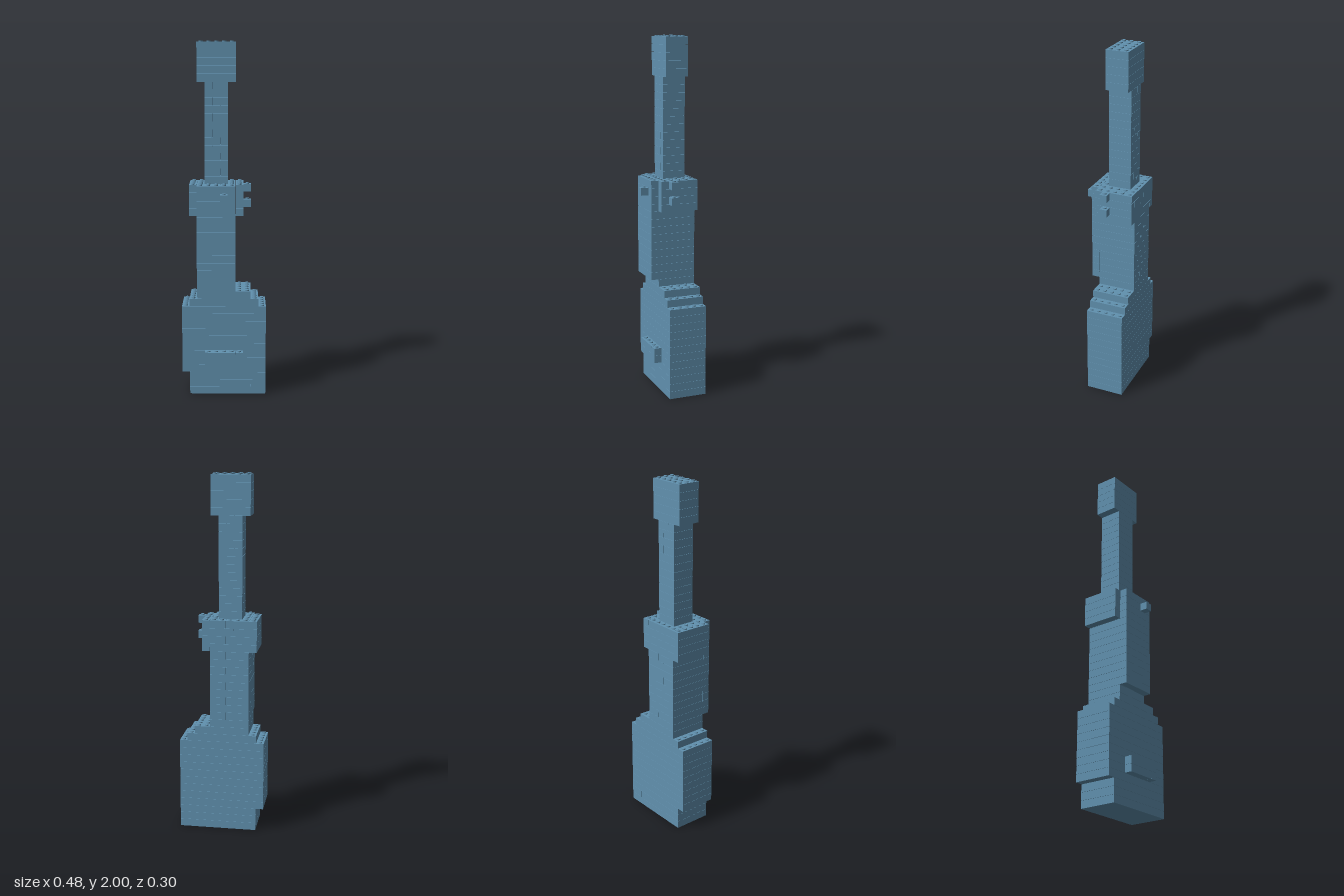
import * as THREE from 'three';
import { mergeGeometries } from 'three/addons/utils/BufferGeometryUtils.js';

const P = 2.0 / 46.15;        // stud pitch, also the height of one layer
const GAP = 0.001;            // seam between bricks
const STUD_H = 2 - 46 * P;
const STUD_R = 0.0105;
const X0 = -5.5 * P, Z0 = -3.5 * P;   // corner of column 0, row 0

// name, first layer, last layer, first/last column, first/last row, seam columns (even, odd layers)
const PARTS = [
  ['bodyFoot', 0, 2, 1, 10, 0, 4, [[], [9]]],
  ['bodyBlock', 3, 11, 0, 10, 0, 4, [[], []]],
  ['lowerStep', 12, 12, 1, 9, 0, 4, [[], []]],
  ['upperStep', 13, 13, 2, 8, 0, 4, [[], []]],
  ['frontLedge', 4, 5, 3, 7, 5, 5, [[7], [7]]],
  ['lowerNeck', 14, 27, 2, 6, 0, 4, [[4], [5]]],
  ['neckFront', 15, 27, 2, 6, 5, 5, [[], []]],
  ['collarRight', 24, 27, 1, 1, 0, 4, [[], []]],
  ['collarLeft', 24, 27, 7, 7, 0, 4, [[], []]],
  ['lowerSidePeg', 25, 25, 8, 8, 3, 3, [[], []]],
  ['upperSidePeg', 27, 27, 8, 8, 3, 3, [[], []]],
  ['frontPeg', 26, 26, 5, 5, 6, 6, [[], []]],
  ['upperNeck', 28, 40, 3, 5, 1, 3, [[4], [5]]],
  ['head', 41, 45, 2, 6, 1, 3, [[], []]],
];

// True when any part fills the given cell
const filled = (c, y, r) => PARTS.some(([, y0, y1, c0, c1, r0, r1]) =>
  y >= y0 && y <= y1 && c >= c0 && c <= c1 && r >= r0 && r <= r1);

// One brick spanning columns a..b-1 and rows r0..r1 of a layer
function brick(a, b, r0, r1, y) {
  const g = new THREE.BoxGeometry((b - a) * P - GAP, P - GAP, (r1 - r0 + 1) * P - GAP);
  // tops stay flush with the layer grid, the seam lies below each brick
  return g.translate(X0 + (a + b) / 2 * P, (y + 0.5) * P + GAP / 2, Z0 + (r0 + r1 + 1) / 2 * P);
}

function stud(c, y, r) {
  const g = new THREE.CylinderGeometry(STUD_R, STUD_R, STUD_H, 16);
  return g.translate(X0 + (c + 0.5) * P, (y + 1) * P + STUD_H / 2, Z0 + (r + 0.5) * P);
}

export function createModel() {
  const group = new THREE.Group();
  group.name = 'brickTower';
  const blue = new THREE.MeshStandardMaterial({ color: 0x6191af });
  blue.name = 'softBlue';

  for (const [name, y0, y1, c0, c1, r0, r1, seams] of PARTS) {
    const pieces = [];
    for (let y = y0; y <= y1; y++) {
      // bricks of this layer, split at the seams
      const cuts = [c0, ...seams[y % 2], c1 + 1];
      for (let i = 0; i + 1 < cuts.length; i++) pieces.push(brick(cuts[i], cuts[i + 1], r0, r1, y));
      // studs wherever nothing sits on top
      for (let c = c0; c <= c1; c++)
        for (let r = r0; r <= r1; r++)
          if (!filled(c, y + 1, r)) pieces.push(stud(c, y, r));
    }
    const mesh = new THREE.Mesh(mergeGeometries(pieces), blue);
    mesh.name = name;
    group.add(mesh);
  }
  return group;
}
